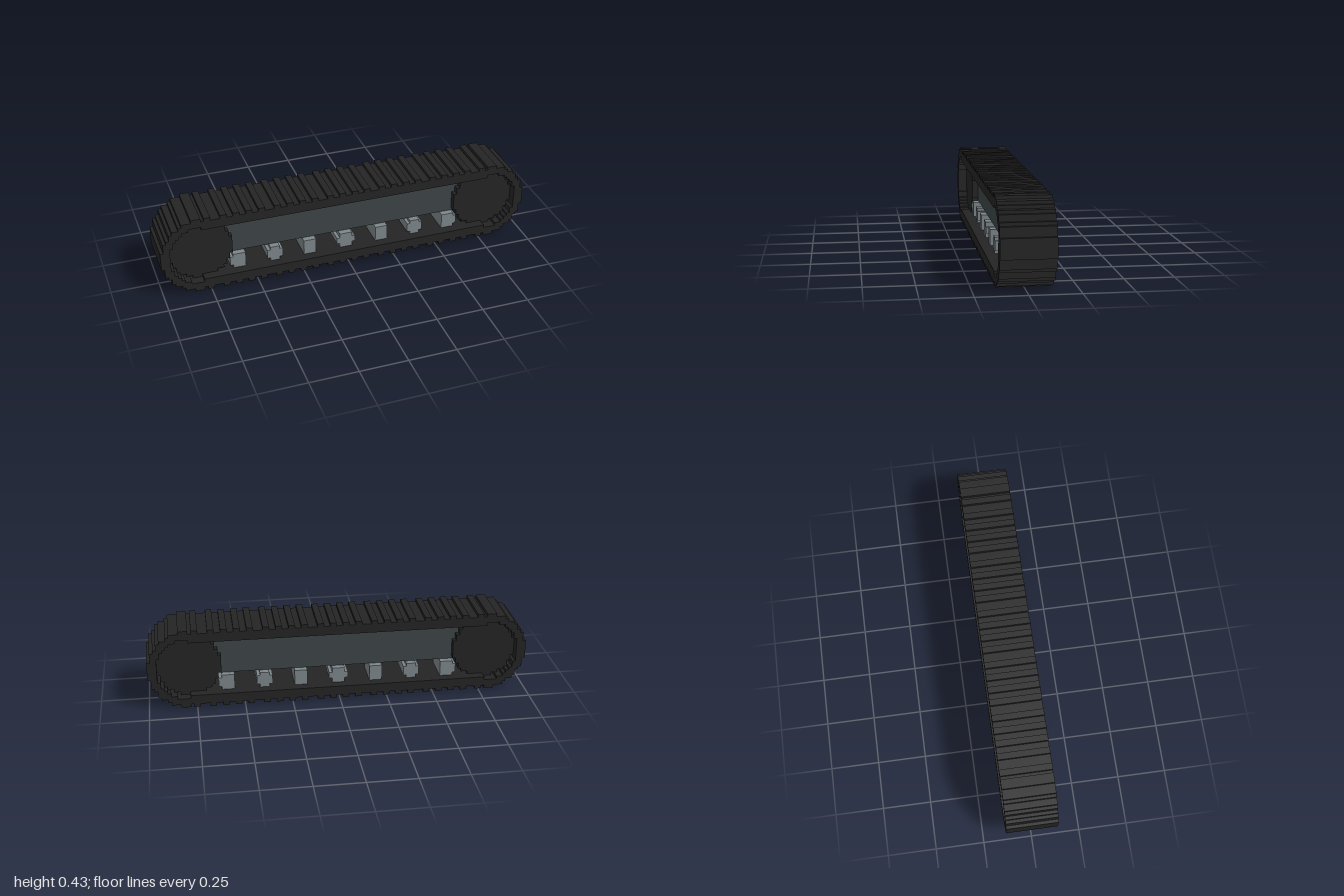
import * as THREE from 'three';

const UNIT = 1 / 60; // one grid step
const MID = 13;      // height of the wheel axles, in steps
const AXLE = 47;     // distance of the wheel axles from the centre

const rubber = new THREE.MeshStandardMaterial({ name: 'black rubber', color: 0x242424 });
const steel = new THREE.MeshStandardMaterial({ name: 'dark frame steel', color: 0x3d4546 });
const metal = new THREE.MeshStandardMaterial({ name: 'grey roller metal', color: 0x7d868a });

// Half height of a stepped disc in the column at distance d from its centre
const discHalf = (r, d) => Math.floor(Math.sqrt(Math.max(0, r * r - d * d)) + 0.5);

// Stepped outline, mirrored top to bottom; half(x) is the half height of the column at x
function steppedPoints(x0, x1, half) {
  const top = [];
  let last = null;
  for (let x = x0; x < x1; x++) {
    const h = half(x + 0.5);
    if (h !== last) {
      if (last !== null) top.push([x, last]);
      top.push([x, h]);
    }
    last = h;
  }
  top.push([x1, last]);
  const bottom = top.map(([x, h]) => [x, -h]);
  return [...bottom, ...top.reverse()].map(([x, y]) => new THREE.Vector2(x, y));
}

// Extrude an outline across the full width, centred on z = 0
function slab(name, material, points, halfWidth, x, y, hole) {
  const shape = new THREE.Shape(points);
  if (hole) shape.holes.push(new THREE.Path(hole));
  const geo = new THREE.ExtrudeGeometry(shape, { depth: halfWidth * 2, bevelEnabled: false });
  geo.translate(0, 0, -halfWidth);
  const mesh = new THREE.Mesh(geo, material);
  mesh.name = name;
  mesh.position.set(x, y, 0);
  return mesh;
}

export function createModel() {
  const model = new THREE.Group();
  model.name = 'crawlerTrack';

  // Columns of the straight runs that carry a raised tread lug
  const lugs = new Set();
  for (let k = 0; k < 11; k++) {
    const start = Math.round((k + 0.5) * 4.25 - 1);
    for (const c of [start + 0.5, start + 1.5]) lugs.add(c).add(-c);
  }

  // Track band: lugged straight runs joined by stepped round ends
  const outer = steppedPoints(-60, 60, (x) => {
    const d = Math.abs(x) - AXLE;
    if (d > 0) return discHalf(12.9, d);
    return lugs.has(x) ? 13 : 12;
  });
  const inner = steppedPoints(-57, 57, (x) => {
    const d = Math.abs(x) - AXLE;
    return d > 0 ? discHalf(10.2, d) : 9;
  });
  model.add(slab('trackBand', rubber, outer, 8, 0, MID, inner));

  // End wheels
  const wheel = steppedPoints(-10, 10, (x) => discHalf(10.05, x));
  model.add(slab('leftWheel', rubber, wheel, 5, AXLE, MID));
  model.add(slab('rightWheel', rubber, wheel, 5, -AXLE, MID));

  // Side frame between the wheels
  const frame = new THREE.Mesh(new THREE.BoxGeometry(80, 11, 6), steel);
  frame.name = 'frame';
  frame.position.set(0, 14.5, 0);
  model.add(frame);

  // Road rollers: start column and half heights of successive columns
  const rollers = [
    [-38, [1.5, 2.5, 2.5, 2.5, 2.5]],
    [-26, [1.5, 2.5, 2.5, 2.5, 1.5]],
    [-14, [2.5, 2.5, 2.5, 2.5]],
    [-3, [1, 2.5, 2.5, 2.5, 2.5, 1]],
    [10, [2.5, 2.5, 2.5, 2.5]],
    [21, [1.5, 2.5, 2.5, 2.5, 1.5]],
    [33, [2.5, 2.5, 2.5, 2.5, 1.5]],
  ];
  rollers.forEach(([start, halves], i) => {
    const outline = steppedPoints(0, halves.length, (x) => halves[Math.floor(x)]);
    model.add(slab(`roller${i + 1}`, metal, outline, 5, start, 6.5));
  });

  model.scale.setScalar(UNIT);
  return model;
}
